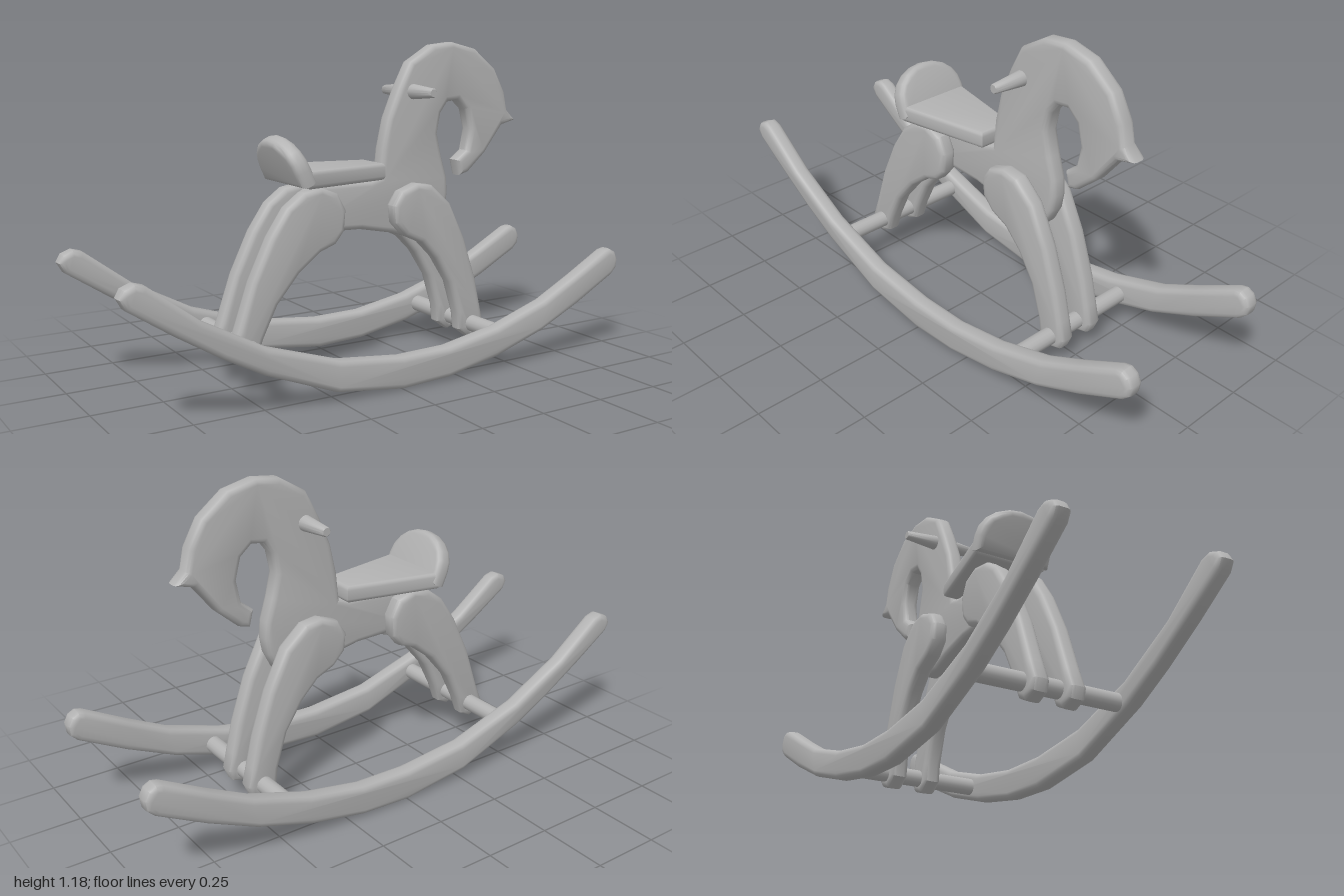
import * as THREE from 'three';
import { toCreasedNormals } from 'three/addons/utils/BufferGeometryUtils.js';

const wood = new THREE.MeshStandardMaterial({ color: 0xb2b2b2 });
wood.name = 'plain wood';

// Board cut from an outline, centred on z = 0, with rounded edges inside the outline
function board(points, thickness, bevel) {
  const shape = new THREE.Shape(points.map(([x, y]) => new THREE.Vector2(x, y)));
  const geo = new THREE.ExtrudeGeometry(shape, {
    depth: thickness - 2 * bevel, bevelThickness: bevel, bevelSize: bevel,
    bevelOffset: -bevel, bevelSegments: 3,
  });
  geo.translate(0, 0, bevel - thickness / 2);
  return toCreasedNormals(geo, 0.7);
}

const ROCKER = [
  [-0.98, 0.415], [-0.83, 0.315], [-0.675, 0.22], [-0.525, 0.14], [-0.26, 0.037], [0, 0.003],
  [0.195, 0.012], [0.41, 0.052], [0.62, 0.118], [0.8, 0.2], [0.97, 0.29], [0.995, 0.315],
  [1, 0.35], [0.985, 0.38], [0.96, 0.393], [0.935, 0.388], [0.78, 0.305], [0.63, 0.23],
  [0.41, 0.16], [0.195, 0.122], [0, 0.118], [-0.25, 0.145], [-0.515, 0.23], [-0.74, 0.35],
  [-0.915, 0.482], [-0.95, 0.492], [-0.985, 0.478], [-1, 0.45],
];

const BODY = [
  [-0.2, 0.53], [-0.11, 0.518], [0.01, 0.515], [0.14, 0.49], [0.22, 0.465], [0.3, 0.465],
  [0.355, 0.5], [0.385, 0.56], [0.395, 0.62], [0.39, 0.68], [0.365, 0.76], [0.345, 0.845],
  [0.36, 0.92], [0.39, 0.96], [0.435, 0.965], [0.475, 0.93], [0.495, 0.855], [0.48, 0.775],
  [0.435, 0.74], [0.45, 0.68], [0.49, 0.69], [0.57, 0.76], [0.65, 0.862], [0.715, 0.88],
  [0.675, 0.92], [0.66, 0.99], [0.61, 1.08], [0.515, 1.155], [0.41, 1.18], [0.32, 1.17],
  [0.22, 1.11], [0.17, 1.015], [0.125, 0.91], [0.1, 0.8], [0.09, 0.7], [0.05, 0.69],
  [-0.18, 0.69], [-0.23, 0.66], [-0.25, 0.6], [-0.235, 0.55],
];

const REAR_LEG = [
  [-0.19, 0.69], [-0.26, 0.678], [-0.325, 0.63], [-0.39, 0.535], [-0.46, 0.39], [-0.515, 0.23],
  [-0.543, 0.16], [-0.53, 0.12], [-0.485, 0.1], [-0.445, 0.12], [-0.42, 0.19], [-0.365, 0.3],
  [-0.28, 0.4], [-0.195, 0.465], [-0.135, 0.487], [-0.1, 0.53], [-0.093, 0.605], [-0.125, 0.665],
];

const FRONT_LEG = [
  [0.21, 0.675], [0.14, 0.65], [0.108, 0.6], [0.115, 0.535], [0.16, 0.487], [0.23, 0.455],
  [0.295, 0.39], [0.36, 0.29], [0.4, 0.165], [0.408, 0.1], [0.455, 0.065], [0.505, 0.08],
  [0.522, 0.12], [0.505, 0.19], [0.48, 0.295], [0.425, 0.455], [0.355, 0.595], [0.275, 0.665],
];

export function createModel() {
  const group = new THREE.Group();
  group.name = 'rockingHorse';
  const add = (name, geo, x = 0, y = 0, z = 0) => {
    const mesh = new THREE.Mesh(geo, wood);
    mesh.name = name;
    mesh.position.set(x, y, z);
    group.add(mesh);
    return mesh;
  };

  add('bodyNeckAndHead', board(BODY, 0.066, 0.02));

  // Mirrored boards
  const rocker = board(ROCKER, 0.066, 0.02);
  const rearLeg = board(REAR_LEG, 0.066, 0.02);
  const frontLeg = board(FRONT_LEG, 0.066, 0.02);
  for (const [side, s] of [['left', -1], ['right', 1]]) {
    add(side + 'Rocker', rocker, 0, 0, s * 0.292);
    add(side + 'RearLeg', rearLeg, 0, 0, s * 0.068);
    add(side + 'FrontLeg', frontLeg, 0, 0, s * 0.068);
  }

  // Cross dowels between the rockers
  const dowel = new THREE.CylinderGeometry(0.031, 0.031, 0.56, 16);
  add('rearDowel', dowel, -0.475, 0.164, 0).rotation.x = Math.PI / 2;
  add('frontDowel', dowel, 0.463, 0.12, 0).rotation.x = Math.PI / 2;

  // Handle peg, tapering to both ends
  const profile = [[0, -0.157], [0.014, -0.157], [0.017, -0.153], [0.028, -0.03],
    [0.028, 0.03], [0.017, 0.153], [0.014, 0.157], [0, 0.157]];
  const peg = new THREE.LatheGeometry(profile.map(([r, y]) => new THREE.Vector2(r, y)), 16);
  add('handlePeg', toCreasedNormals(peg, 0.7), 0.23, 1.003, 0).rotation.x = Math.PI / 2;

  // Seat, narrowing towards the neck
  const seat = board([[-0.27, -0.143], [0.085, -0.07], [0.085, 0.07], [-0.27, 0.143]], 0.062, 0.015);
  seat.rotateX(-Math.PI / 2);
  add('seat', seat, 0, 0.725, 0);

  // Half-round seat back, leaning backwards
  const backShape = [[-0.145, 0], [0.145, 0]];
  for (let i = 0; i <= 10; i++) {
    const a = (i / 10) * Math.PI;
    backShape.push([0.145 * Math.cos(a), 0.055 + 0.118 * Math.sin(a)]);
  }
  const back = board(backShape, 0.062, 0.02);
  back.rotateY(Math.PI / 2);
  back.rotateZ(0.422);
  add('seatBack', back, -0.262, 0.706, 0);

  return group;
}
